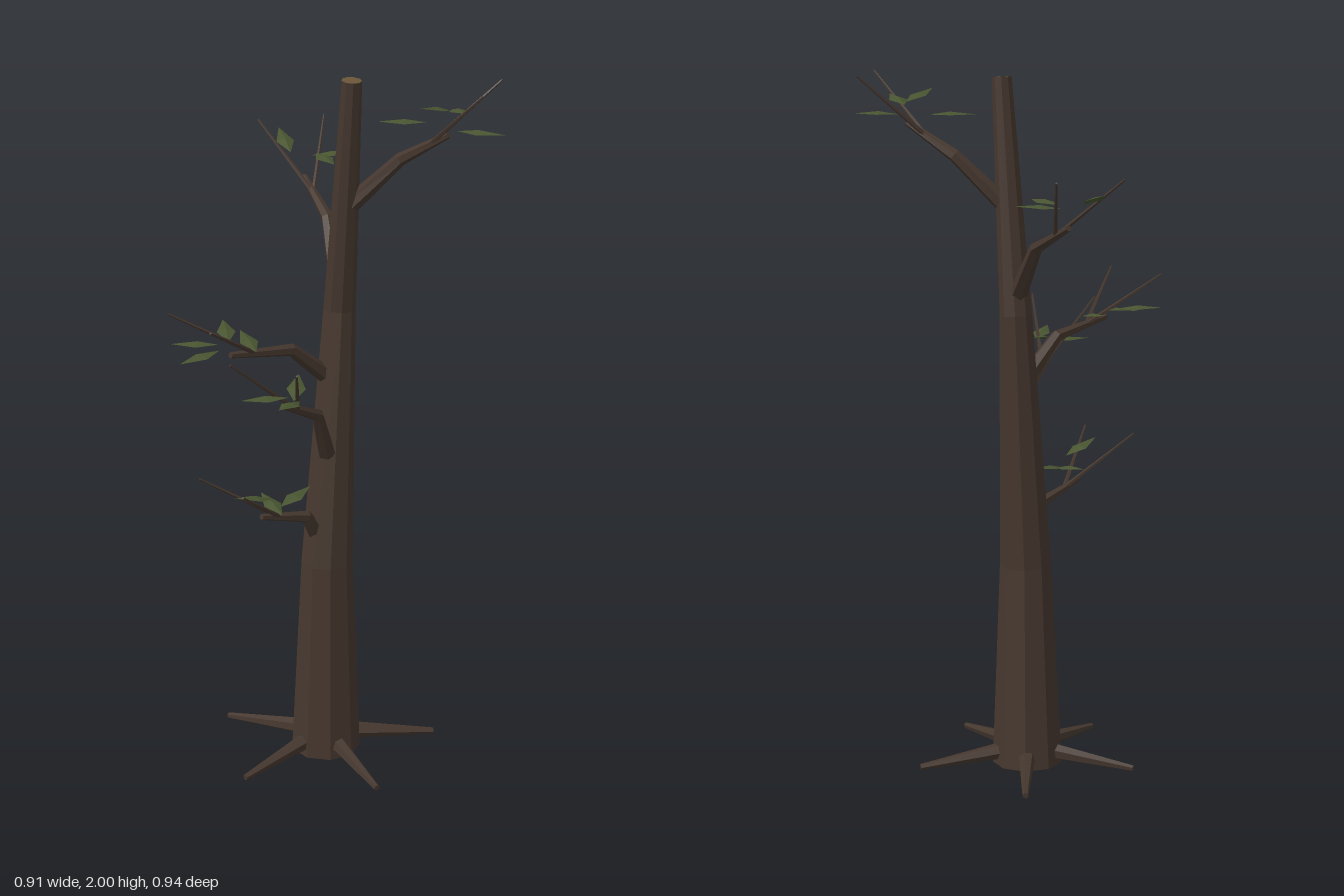
import * as THREE from 'three';

const bark = new THREE.MeshStandardMaterial({ color: 0x45372e, flatShading: true });
bark.name = 'bark';
const wood = new THREE.MeshStandardMaterial({ color: 0x6b5638, flatShading: true });
wood.name = 'cutWood';
const leafGreen = new THREE.MeshStandardMaterial({ color: 0x485430, flatShading: true, side: THREE.DoubleSide });
leafGreen.name = 'leafGreen';

const UP = new THREE.Vector3(0, 1, 0);
const vec = (x, y, z) => new THREE.Vector3(x, y, z);

// Faceted limb: a unit cylinder whose rings are moved onto the points of a path
function limb(name, pts, radii, sides, material = bark) {
  const last = pts.length - 1;
  const turns = pts.map((p, i) => {
    const dir = vec(0, 0, 0);
    if (i > 0) dir.add(p.clone().sub(pts[i - 1]).normalize());
    if (i < last) dir.add(pts[i + 1].clone().sub(p).normalize());
    return new THREE.Quaternion().setFromUnitVectors(UP, dir.normalize());
  });
  const geo = new THREE.CylinderGeometry(1, 1, 1, sides, last);
  const pos = geo.attributes.position;
  const v = vec(0, 0, 0);
  for (let i = 0; i < pos.count; i++) {
    v.fromBufferAttribute(pos, i);
    const ring = Math.round((v.y + 0.5) * last);
    v.y = 0;
    v.multiplyScalar(radii[ring]).applyQuaternion(turns[ring]).add(pts[ring]);
    pos.setXYZ(i, v.x, v.y, v.z);
  }
  geo.computeVertexNormals();
  const mesh = new THREE.Mesh(geo, material);
  mesh.name = name;
  return mesh;
}

// Kite-shaped leaf, slightly folded along its midrib
function leaf(base, heading, rise) {
  const a = THREE.MathUtils.degToRad(heading);
  const tip = base.clone().add(vec(Math.cos(a) * 0.13, rise, Math.sin(a) * 0.13));
  const side = vec(-Math.sin(a), 0, Math.cos(a)).multiplyScalar(0.026);
  const mid = base.clone().lerp(tip, 0.45);
  const l = mid.clone().sub(side);
  const r = mid.clone().add(side);
  mid.y += 0.008;
  const geo = new THREE.BufferGeometry().setFromPoints([base, mid, l, mid, tip, l, base, r, mid, mid, r, tip]);
  geo.computeVertexNormals();
  const mesh = new THREE.Mesh(geo, leafGreen);
  mesh.name = 'leaf';
  return mesh;
}

// Branch: a bent bough, twigs forking from it, and leaves given as x, y, z, heading and rise
function branch(name, path, twigTips, leaves) {
  const group = new THREE.Group();
  group.name = name;
  group.add(limb('bough', path, [0.026, 0.018, 0.009], 6));
  const fork = path[1].clone().lerp(path[2], 0.6);
  for (const tip of twigTips) group.add(limb('twig', [fork, tip], [0.007, 0.003], 5));
  for (const [x, y, z, heading, rise] of leaves) group.add(leaf(vec(x, y, z), heading, rise));
  return group;
}

export function createModel() {
  const tree = new THREE.Group();
  tree.name = 'tree';

  // Leaning trunk with bare wood at both ends
  const trunkPath = [vec(-0.01, 0.004, 0.06), vec(-0.008, 0.6, 0.07), vec(0.036, 1.34, 0.018), vec(0.059, 1.995, 0.074)];
  tree.add(limb('trunk', trunkPath, [0.102, 0.075, 0.046, 0.028], 9, [bark, wood, wood]));

  // Five roots spread evenly round the base
  for (let i = 0; i < 5; i++) {
    const a = (i / 5) * Math.PI * 2;
    const at = (d, y) => vec(-0.01 + Math.cos(a) * d, y, 0.06 + Math.sin(a) * d);
    tree.add(limb('root', [at(0.05, 0.045), at(0.323, 0.017)], [0.026, 0.009], 6));
  }

  // Three branches on the front right, one at the back and one near the top
  tree.add(
    branch('lowBranch',
      [vec(-0.04, 0.7, 0.09), vec(-0.075, 0.765, 0.125), vec(-0.21, 0.805, 0.2)],
      [vec(-0.38, 0.93, 0.2), vec(-0.28, 0.93, 0.35)],
      [[-0.18, 0.87, 0.23, 151, 0.035], [-0.16, 0.84, 0.22, -42, 0.02], [-0.16, 0.83, 0.255, -109, 0.02]]),
    branch('middleBranch',
      [vec(-0.01, 0.94, 0.09), vec(-0.05, 1.09, 0.18), vec(-0.16, 1.17, 0.305)],
      [vec(-0.31, 1.315, 0.358), vec(-0.15, 1.315, 0.468)],
      [[-0.15, 1.2, 0.32, 178, 0], [-0.125, 1.2, 0.35, 123, 0.02], [-0.14, 1.2, 0.35, -76, 0.03]]),
    branch('highBranch',
      [vec(0, 1.15, 0.04), vec(-0.11, 1.255, 0.1), vec(-0.29, 1.285, 0.2)],
      [vec(-0.455, 1.405, 0.18), vec(-0.36, 1.405, 0.355)],
      [[-0.29, 1.31, 0.165, -90, 0.02], [-0.32, 1.31, 0.18, -169, 0],
        [-0.32, 1.3, 0.2, 151, -0.01], [-0.22, 1.29, 0.2, -102, 0.02]]),
    branch('backBranch',
      [vec(0.035, 1.39, 0.01), vec(0.03, 1.55, -0.15), vec(-0.01, 1.625, -0.315)],
      [vec(-0.125, 1.765, -0.435), vec(0.07, 1.765, -0.458)],
      [[-0.045, 1.69, -0.34, -97, 0.04], [0.015, 1.68, -0.335, 7, 0.01], [0.025, 1.69, -0.32, 76, 0]]),
    branch('topBranch',
      [vec(0.055, 1.64, 0.05), vec(0.19, 1.78, 0.095), vec(0.3, 1.865, 0.185)],
      [vec(0.45, 2, 0.15), vec(0.36, 2, 0.325)],
      [[0.25, 1.89, 0.14, -167, 0], [0.31, 1.925, 0.16, 140, 0.03],
        [0.32, 1.92, 0.13, 85, 0.02], [0.315, 1.885, 0.222, 28, 0]]),
  );
  return tree;
}
